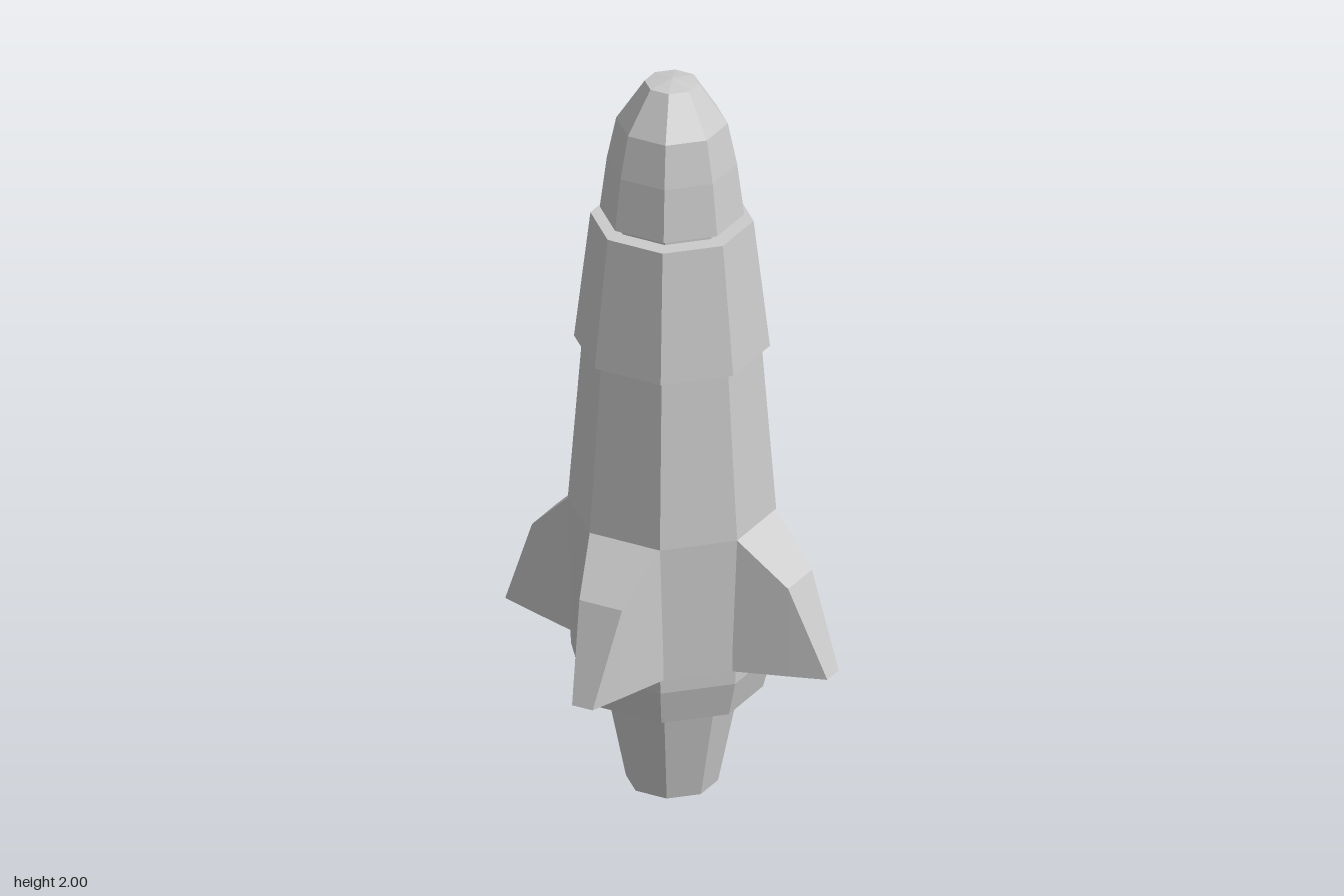
import * as THREE from 'three';

const material = new THREE.MeshStandardMaterial({ color: 0xcccccc, flatShading: true, side: THREE.DoubleSide });

// Eight-sided turned part; the profile is [radius, y] from bottom to top
function turned(name, profile) {
  const points = profile.map(([r, y]) => new THREE.Vector2(r, y));
  const mesh = new THREE.Mesh(new THREE.LatheGeometry(points, 8), material);
  mesh.name = name;
  return mesh;
}

// Fin pointing along +x: rectangular sections that narrow towards the tip
function finGeometry() {
  const bottom = 0.41;
  const sections = [
    [0.235, 0.106, 0.797],
    [0.373, 0.062, 0.66],
    [0.469, 0.03, bottom],
  ].map(([x, w, top]) => [[x, top, w], [x, top, -w], [x, bottom, -w], [x, bottom, w]]);
  const positions = [];
  for (let i = 0; i < sections.length - 1; i++) {
    const s = sections[i], t = sections[i + 1];
    for (let k = 0; k < 4; k++) {
      const n = (k + 1) % 4;
      positions.push(...s[k], ...t[k], ...t[n], ...s[k], ...t[n], ...s[n]);
    }
  }
  const geometry = new THREE.BufferGeometry();
  geometry.setAttribute('position', new THREE.Float32BufferAttribute(positions, 3));
  geometry.computeVertexNormals();
  return geometry;
}

export function createModel() {
  const model = new THREE.Group();
  model.name = 'rocket';
  const rocket = new THREE.Group();
  rocket.name = 'rocketAssembly';
  rocket.position.set(-0.003, 0, -0.013);
  model.add(rocket);

  rocket.add(
    // Hollow engine nozzle
    turned('nozzle', [[0, 0.12], [0.07, 0.12], [0.07, 0], [0.118, 0], [0.174, 0.275]]),
    // Main hull with its chamfered skirt
    turned('hull', [[0, 0.275], [0.233, 0.275], [0.259, 0.372], [0.26, 0.41], [0.267, 0.785], [0.23, 1.25]]),
    // Upper sleeve that overhangs the hull
    turned('upperSleeve', [[0, 1.25], [0.251, 1.25], [0.209, 1.605], [0, 1.605]]),
    // Recessed joint below the nose
    turned('neck', [[0.16, 1.6], [0.16, 1.63]]),
    // Nose cone
    turned('noseCone', [[0, 1.623], [0.185, 1.623], [0.167, 1.765], [0.143, 1.88], [0.07, 1.99], [0, 2]]),
  );

  // Four fins, each on a flat side of the hull
  const fin = finGeometry();
  for (let i = 0; i < 4; i++) {
    const mesh = new THREE.Mesh(fin, material);
    mesh.name = `fin${i + 1}`;
    mesh.rotation.y = -Math.PI / 8 + (i * Math.PI) / 2;
    rocket.add(mesh);
  }
  return model;
}
